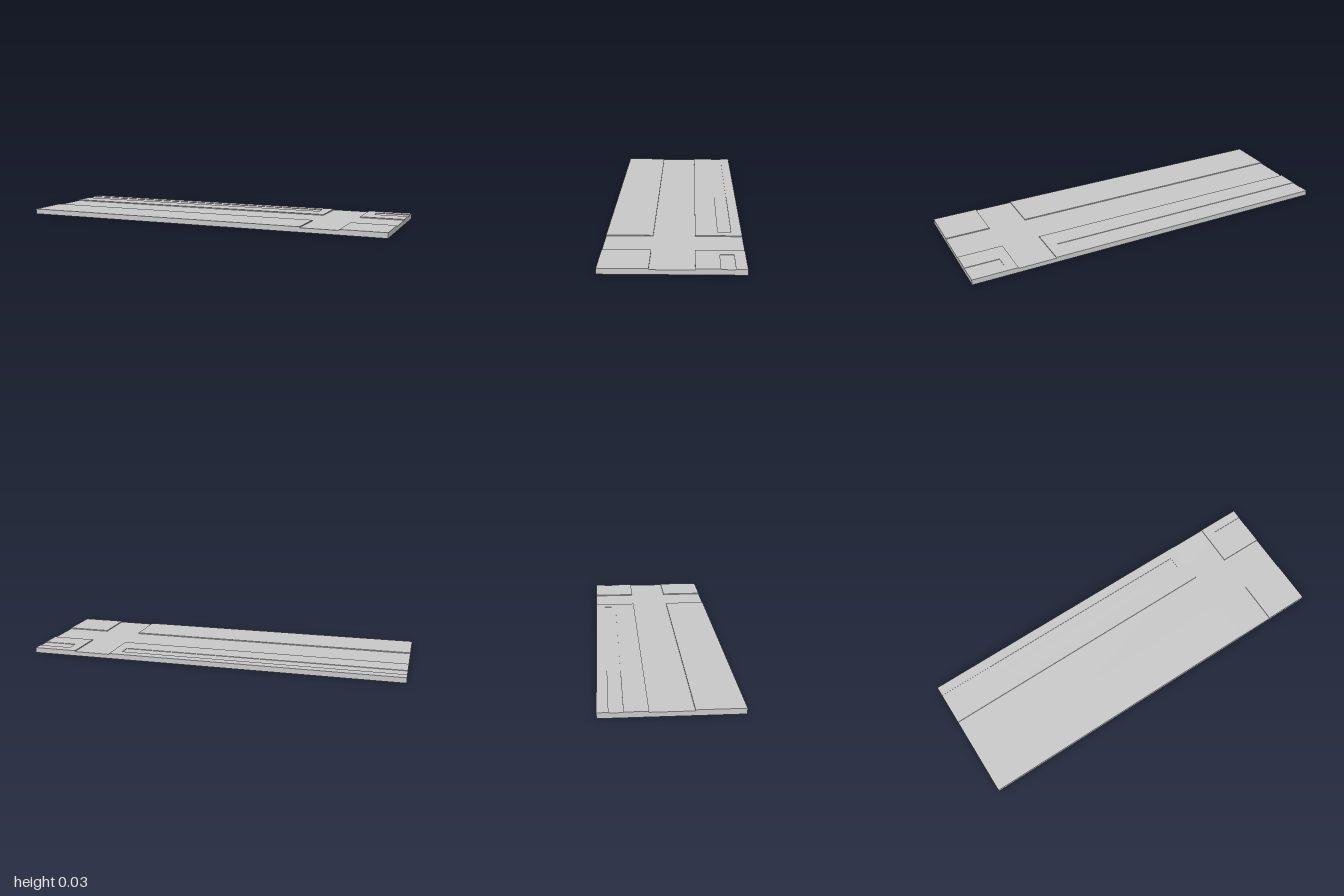
import * as THREE from 'three';

const material = new THREE.MeshStandardMaterial({ color: 0xcccccc, flatShading: true });

const HALF_X = 1, HALF_Z = 0.333;   // outline of the tile
const RIM = 0.02;                   // width of the rim and ribs underneath
const CEILING = 0.02, ROAD = 0.023, LAWN = 0.0255, CURB = 0.028; // heights

export function createModel() {
  const group = new THREE.Group();
  group.name = 'roadTile';

  const add = (name, geometry, x = 0, y = 0, z = 0) => {
    const mesh = new THREE.Mesh(geometry, material);
    mesh.name = name;
    mesh.position.set(x, y, z);
    group.add(mesh);
    return mesh;
  };

  // Road deck, its top is the street surface
  add('roadDeck', new THREE.BoxGeometry(2 * HALF_X, ROAD - CEILING, 2 * HALF_Z),
    0, (ROAD + CEILING) / 2, 0);

  // Rim around the hollow underside
  const rectangle = (Type, w, h) => new Type([
    new THREE.Vector2(-w, -h), new THREE.Vector2(w, -h),
    new THREE.Vector2(w, h), new THREE.Vector2(-w, h),
  ]);
  const rimShape = rectangle(THREE.Shape, HALF_X, HALF_Z);
  rimShape.holes.push(rectangle(THREE.Path, HALF_X - RIM, HALF_Z - RIM));
  const rim = new THREE.ExtrudeGeometry(rimShape, { depth: CEILING, bevelEnabled: false });
  rim.rotateX(-Math.PI / 2);
  add('bottomRim', rim);

  // Two cross ribs divide the underside into thirds
  for (const x of [-0.33, 0.33]) {
    add('bottomRib', new THREE.BoxGeometry(RIM, CEILING, 2 * (HALF_Z - RIM)), x, CEILING / 2, 0);
  }

  // Sidewalk blocks on the four corners of the crossing
  const pavement = (name, x0, x1, z0, z1) =>
    add(name, new THREE.BoxGeometry(x1 - x0, CURB - ROAD, z1 - z0),
      (x0 + x1) / 2, (CURB + ROAD) / 2, (z0 + z1) / 2);

  const corners = [
    { x0: -HALF_X, x1: 0.565, lawn0: -HALF_X, lawn1: 0.51 },
    { x0: 0.765, x1: HALF_X, lawn0: 0.82, lawn1: HALF_X },
  ];
  for (const { x0, x1, lawn0, lawn1 } of corners) {
    pavement('frontSidewalk', x0, x1, 0.102, HALF_Z);

    // Back sidewalk with a sunken strip that runs out at the tile's end
    pavement('backSidewalkInner', x0, x1, -0.215, -0.102);
    pavement('backSidewalkOuter', x0, x1, -HALF_Z, -0.28);
    if (lawn0 > x0) pavement('backSidewalkEnd', x0, lawn0, -0.28, -0.215);
    if (lawn1 < x1) pavement('backSidewalkEnd', lawn1, x1, -0.28, -0.215);
    add('sunkenStrip', new THREE.BoxGeometry(lawn1 - lawn0, LAWN - ROAD, 0.065),
      (lawn0 + lawn1) / 2, (LAWN + ROAD) / 2, -0.2475);
  }

  return group;
}
